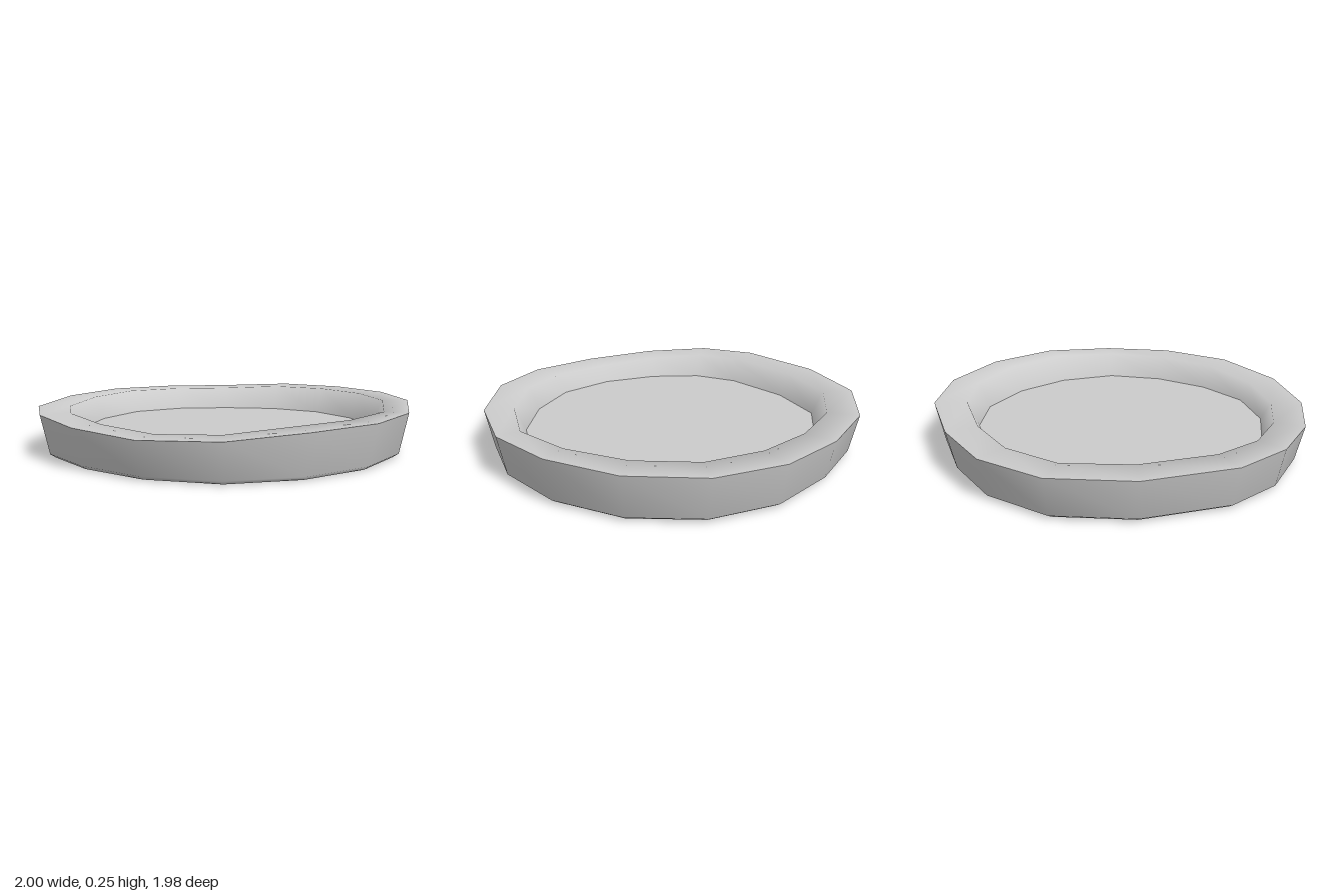
import * as THREE from 'three';

// Sixteen slightly uneven rim corners: x, z, rim height, floor size relative to rim
const CORNERS = [
  [0, -0.99, 0.222, 0.778], [0.39, -0.945, 0.237, 0.776], [0.71, -0.755, 0.24, 0.785], [0.93, -0.43, 0.244, 0.788],
  [1, -0.045, 0.245, 0.805], [0.925, 0.34, 0.23, 0.815], [0.715, 0.66, 0.228, 0.785], [0.385, 0.89, 0.225, 0.77],
  [0, 0.985, 0.2, 0.768], [-0.385, 0.89, 0.19, 0.77], [-0.705, 0.66, 0.205, 0.778], [-0.92, 0.375, 0.222, 0.787],
  [-1, 0.07, 0.225, 0.777], [-0.92, -0.395, 0.225, 0.775], [-0.705, -0.755, 0.225, 0.785], [-0.38, -0.945, 0.222, 0.78],
];
const FLOOR_Y = 0.1;

// Rings of the dish, each mapping a corner to a point
const ring = (scale, y) => ([x, z]) => [x * scale, y, z * scale];
const centre = (y) => () => [0, y, 0];
const outerRim = ([x, z, h]) => [x, h, z];
const innerRim = ([x, z, h, f]) => [x * f * 1.07, h, z * f * 1.07];
const floorEdge = ([x, z, , f]) => [x * f, FLOOR_Y, z * f];

// Skins a list of rings with smooth shading
function loft(name, rings, material) {
  const n = CORNERS.length;
  const positions = rings.flatMap((r) => CORNERS.flatMap(r));
  const index = [];
  for (let k = 0; k < rings.length - 1; k++) {
    for (let i = 0; i < n; i++) {
      const j = (i + 1) % n;
      const a = k * n, b = a + n;
      index.push(a + i, b + i, b + j, a + i, b + j, a + j);
    }
  }
  const geometry = new THREE.BufferGeometry();
  geometry.setAttribute('position', new THREE.Float32BufferAttribute(positions, 3));
  geometry.setIndex(index);
  geometry.computeVertexNormals();
  const mesh = new THREE.Mesh(geometry, material);
  mesh.name = name;
  return mesh;
}

export function createModel() {
  const group = new THREE.Group();
  group.name = 'shallowDish';
  const material = new THREE.MeshStandardMaterial({ color: 0xcccccc });

  // Underside, bevelled foot and flared outer wall
  group.add(loft('outerShell', [centre(0), ring(0.925, 0), ring(0.955, 0.02), outerRim], material));
  // Broad rim and sloping inner wall
  group.add(loft('rimAndInnerWall', [outerRim, innerRim, floorEdge], material));
  // Flat floor
  group.add(loft('floor', [floorEdge, centre(FLOOR_Y)], material));
  return group;
}
